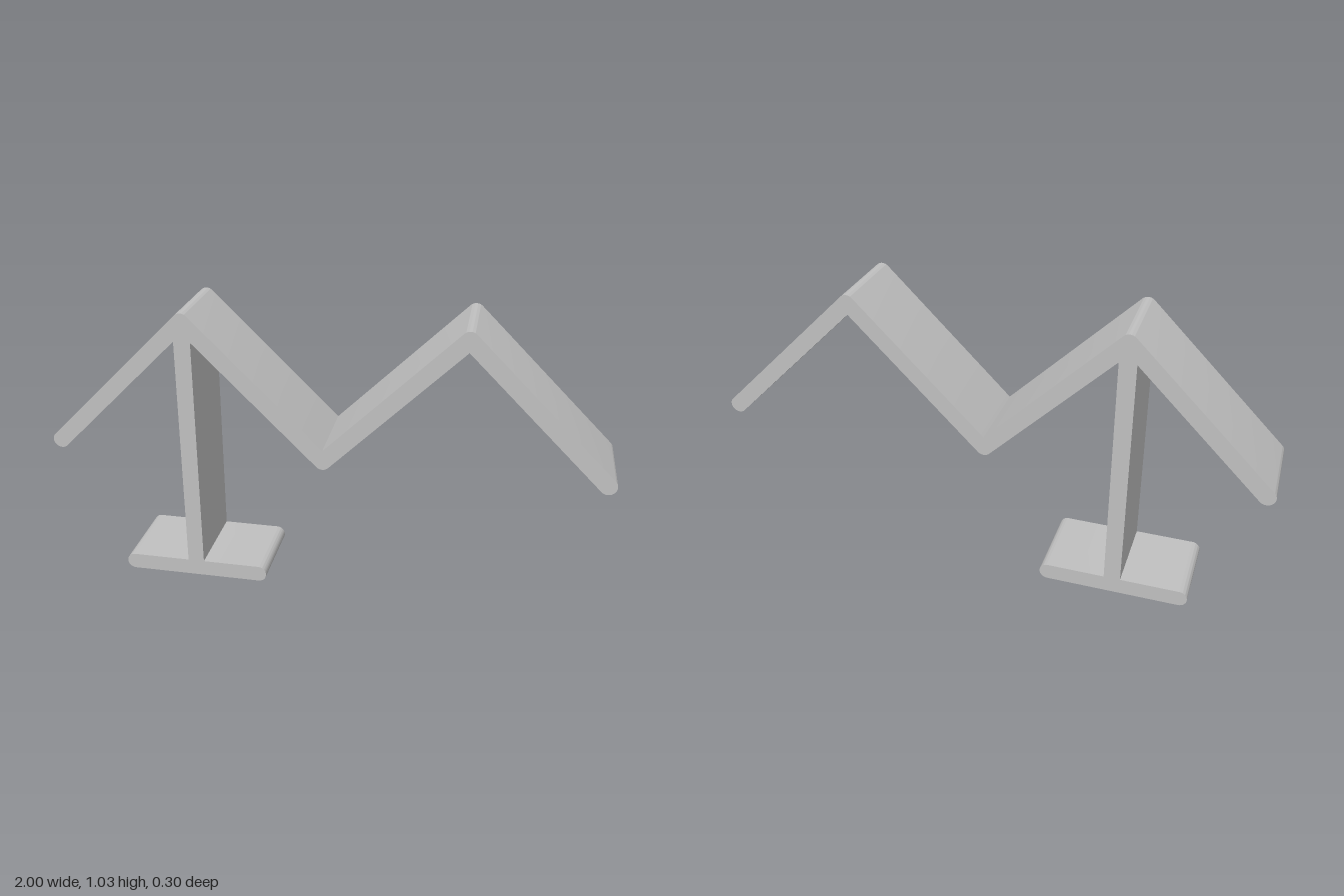
import * as THREE from 'three';
import { toCreasedNormals } from 'three/addons/utils/BufferGeometryUtils.js';

export function createModel() {
  const group = new THREE.Group();
  group.name = 'zigzagStand';
  const grey = new THREE.MeshStandardMaterial({ color: 0xc0c0c0 });
  grey.name = 'light grey';

  const t = 0.03;                               // half thickness of every strip
  const depth = 0.304;
  const endX = 0.97, peakX = 0.485, peakY = 1.0, lowY = 0.52;
  const slope = Math.atan2(peakY - lowY, peakX);
  const miter = t / Math.cos(slope);            // vertical offset of inner corners
  const quarter = Math.PI / 2;
  const joinY = peakY - miter - t * Math.tan(slope); // where the post meets the arms

  // One continuous outline, counter-clockwise from the left tip
  const outline = new THREE.Shape();
  const round = (x, y, from, to) => outline.absarc(x, y, t, from, to, false);

  round(-endX, lowY, slope + quarter, slope + 3 * quarter);       // left tip
  outline.lineTo(-peakX - t, joinY);                              // post, left side
  outline.lineTo(-peakX - t, 2 * t);
  round(-0.728, t, quarter, 3 * quarter);                         // foot
  round(-0.245, t, -quarter, quarter);
  outline.lineTo(-peakX + t, 2 * t);                              // post, right side
  outline.lineTo(-peakX + t, joinY);
  round(0, lowY, -slope - quarter, slope - quarter);              // valley, below
  outline.lineTo(peakX, peakY - miter);                           // right peak, below
  round(endX, lowY, -slope - quarter, -slope + quarter);          // right tip
  round(peakX, peakY, quarter - slope, quarter + slope);          // right peak
  outline.lineTo(0, lowY + miter);                                // valley, above
  round(-peakX, peakY, quarter - slope, quarter + slope);         // left peak
  outline.closePath();

  const geometry = new THREE.ExtrudeGeometry(outline, {
    depth, bevelEnabled: false, curveSegments: 16,
  });
  geometry.translate(0, 0, -depth / 2);

  const stand = new THREE.Mesh(toCreasedNormals(geometry, 0.5), grey);
  stand.name = 'zigzagShelfWithPostAndFoot';
  group.add(stand);
  return group;
}
